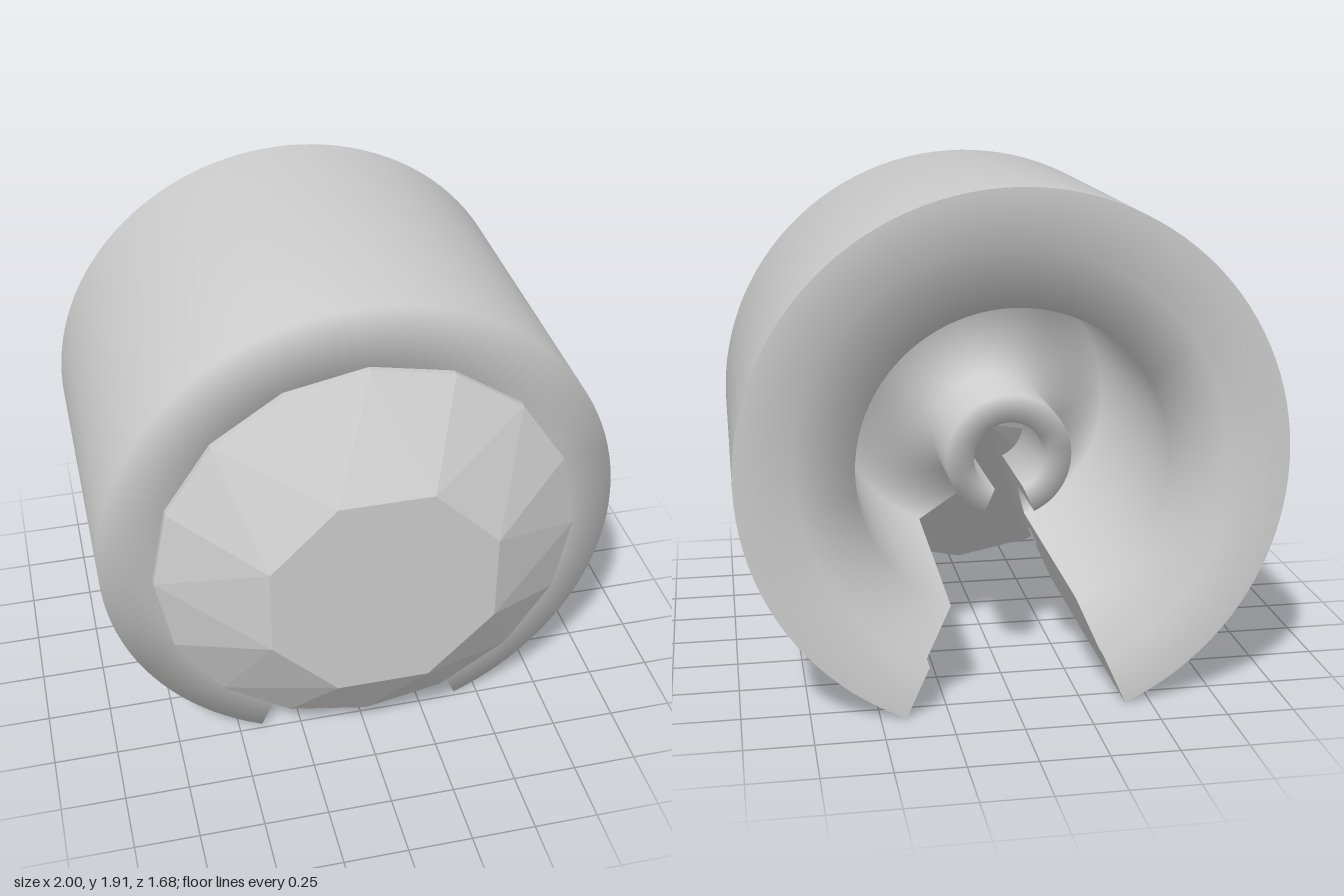
import * as THREE from 'three';
import { ConvexGeometry } from 'three/addons/geometries/ConvexGeometry.js';

const GAP = THREE.MathUtils.degToRad(24); // half the opening at the bottom
const AXIS_Y = Math.cos(GAP);

// Closed section of the holder as [radius, z]
const SECTION = [
  [1, -0.84], [1, 0.48],                       // outer wall
  [0.735, 0.48], [0.785, 0.36], [0.67, 0.31],  // front face and undercut groove
  [0.735, 0.48], [0.77, 0.53], [0.745, 0.51],  // flared seat lip
  [0.14, -0.2], [0.13, -0.66],                 // cone under the stone, hub bore
  [0.23, -0.66], [0.23, -0.3],                 // hub
  [0.55, 0.185], [0.57, -0.76],                // back of cone, main bore
  [0.79, -0.76], [0.79, -0.84],                // stepped back rim
].map(([r, z]) => new THREE.Vector2(r, z));

function ring(count, radius, z, offset = 0) {
  return Array.from({ length: count }, (_, i) => {
    const a = ((i + offset) / count) * Math.PI * 2;
    return new THREE.Vector3(radius * Math.cos(a), radius * Math.sin(a), z);
  });
}

export function createModel() {
  const model = new THREE.Group();
  model.name = 'gemHolder';
  const grey = new THREE.MeshStandardMaterial({ color: 0xcccccc });
  const flat = new THREE.MeshStandardMaterial({ color: 0xcccccc, flatShading: true });
  const capGrey = new THREE.MeshStandardMaterial({ color: 0xcccccc, side: THREE.DoubleSide });
  const add = (name, geometry, material) => {
    const mesh = new THREE.Mesh(geometry, material);
    mesh.name = name;
    mesh.position.y = AXIS_Y;
    model.add(mesh);
  };

  // Slotted holder, swept around the z axis
  const body = new THREE.LatheGeometry([...SECTION, SECTION[0]], 96, GAP, Math.PI * 2 - 2 * GAP);
  body.rotateX(Math.PI / 2);
  add('holder', body, grey);

  // Flat faces on both sides of the slot
  [['leftSlotFace', GAP], ['rightSlotFace', -GAP]].forEach(([name, a]) => {
    const cap = new THREE.ShapeGeometry(new THREE.Shape(SECTION));
    const s = Math.sin(a), c = Math.cos(a);
    cap.applyMatrix4(new THREE.Matrix4().makeBasis(
      new THREE.Vector3(s, -c, 0), new THREE.Vector3(0, 0, 1), new THREE.Vector3(-c, -s, 0)));
    add(name, cap, capGrey);
  });

  // Faceted stone: eight-sided table, sixteen-sided girdle, pointed pavilion
  add('gem', new ConvexGeometry([
    ...ring(8, 0.458, 0.84, 0.5),
    ...ring(16, 0.81, 0.585),
    ...ring(16, 0.81, 0.56),
    new THREE.Vector3(0, 0, -0.2),
  ]), flat);

  return model;
}
